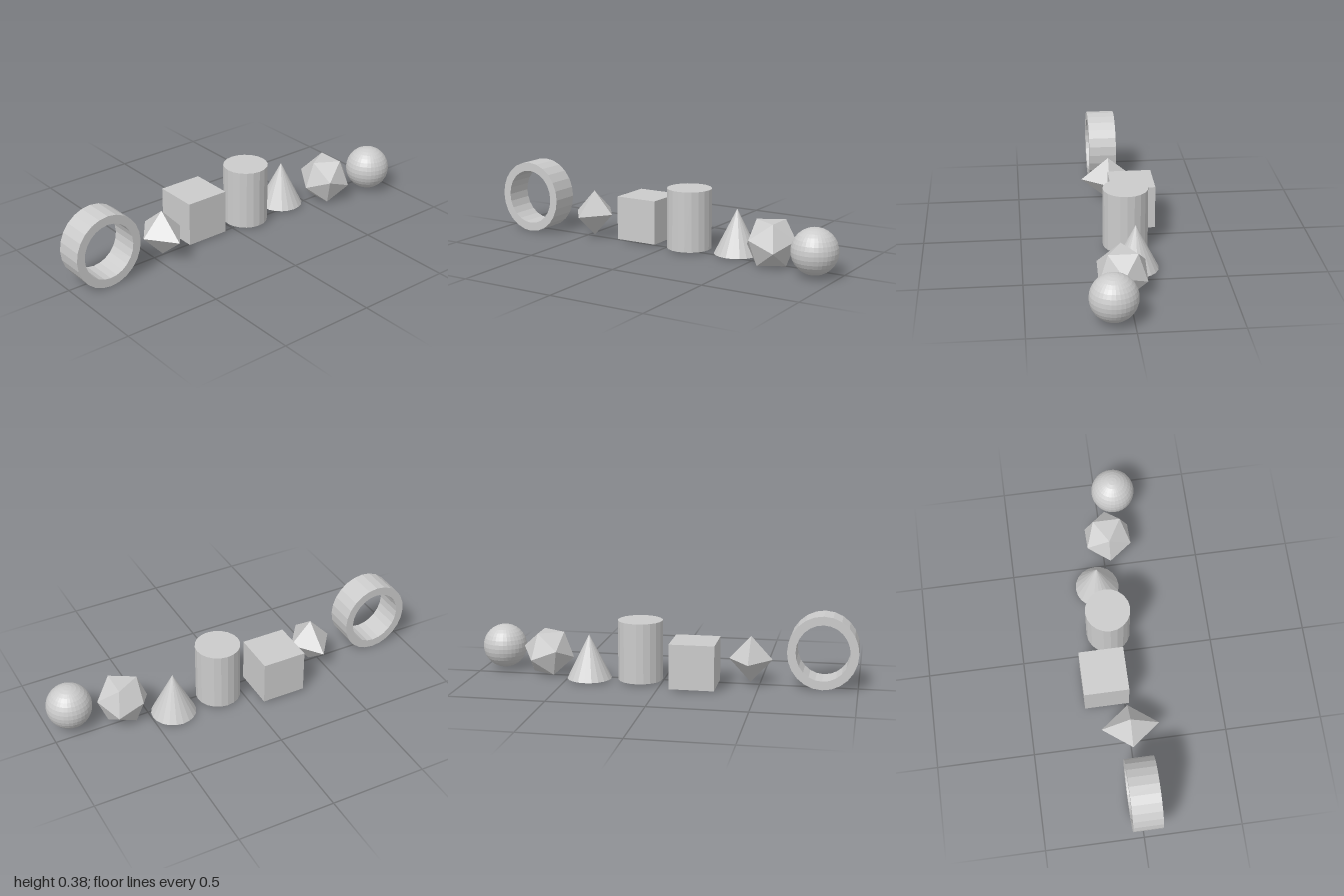
import * as THREE from 'three';

const material = new THREE.MeshStandardMaterial({ color: 0xcccccc, flatShading: true });

// Oval ring with a flat rim, extruded along z
function ringGeometry(rx, ry, holeX, holeY, depth) {
  const shape = new THREE.Shape().absellipse(0, 0, rx, ry, 0, Math.PI * 2);
  shape.holes.push(new THREE.Path().absellipse(0, 0, holeX, holeY, 0, Math.PI * 2, true));
  const geometry = new THREE.ExtrudeGeometry(shape, { depth, bevelEnabled: false, curveSegments: 12 });
  return geometry.translate(0, 0, -depth / 2);
}

// Icosahedron turned so it rests on one face, its top triangle pointing to -x
function restingIcosahedron(radius) {
  const geometry = new THREE.IcosahedronGeometry(radius);
  const position = geometry.attributes.position;
  const normal = new THREE.Vector3();
  for (let i = 0; i < 3; i++) normal.add(new THREE.Vector3().fromBufferAttribute(position, i));
  geometry.applyQuaternion(
    new THREE.Quaternion().setFromUnitVectors(normal.normalize(), new THREE.Vector3(0, 1, 0)));
  return geometry.rotateY(Math.atan2(position.getZ(0), position.getX(0)) - Math.PI);
}

export function createModel() {
  const group = new THREE.Group();
  const add = (name, geometry, x, y, z) => {
    const mesh = new THREE.Mesh(geometry, material);
    mesh.name = name;
    mesh.position.set(x, y, z);
    group.add(mesh);
  };

  // A row of solids from the model's right (-x) to its left (+x)
  add('ring', ringGeometry(0.18, 0.19, 0.137, 0.145, 0.15), -0.82, 0.191, 0.018);
  add('octahedron', new THREE.OctahedronGeometry(1).scale(0.112, 0.121, 0.148), -0.452, 0.132, 0.005);
  add('cube', new THREE.BoxGeometry(0.231, 0.231, 0.231), -0.177, 0.126, -0.094);
  add('cylinder', new THREE.CylinderGeometry(0.116, 0.116, 0.313, 20), 0.116, 0.167, -0.034);
  add('cone', new THREE.ConeGeometry(0.116, 0.232, 20), 0.382, 0.126, -0.058);
  add('icosahedron', restingIcosahedron(0.137), 0.622, 0.119, 0.031);
  add('sphere', new THREE.SphereGeometry(0.116, 32, 16), 0.884, 0.126, 0.094);

  return group;
}
